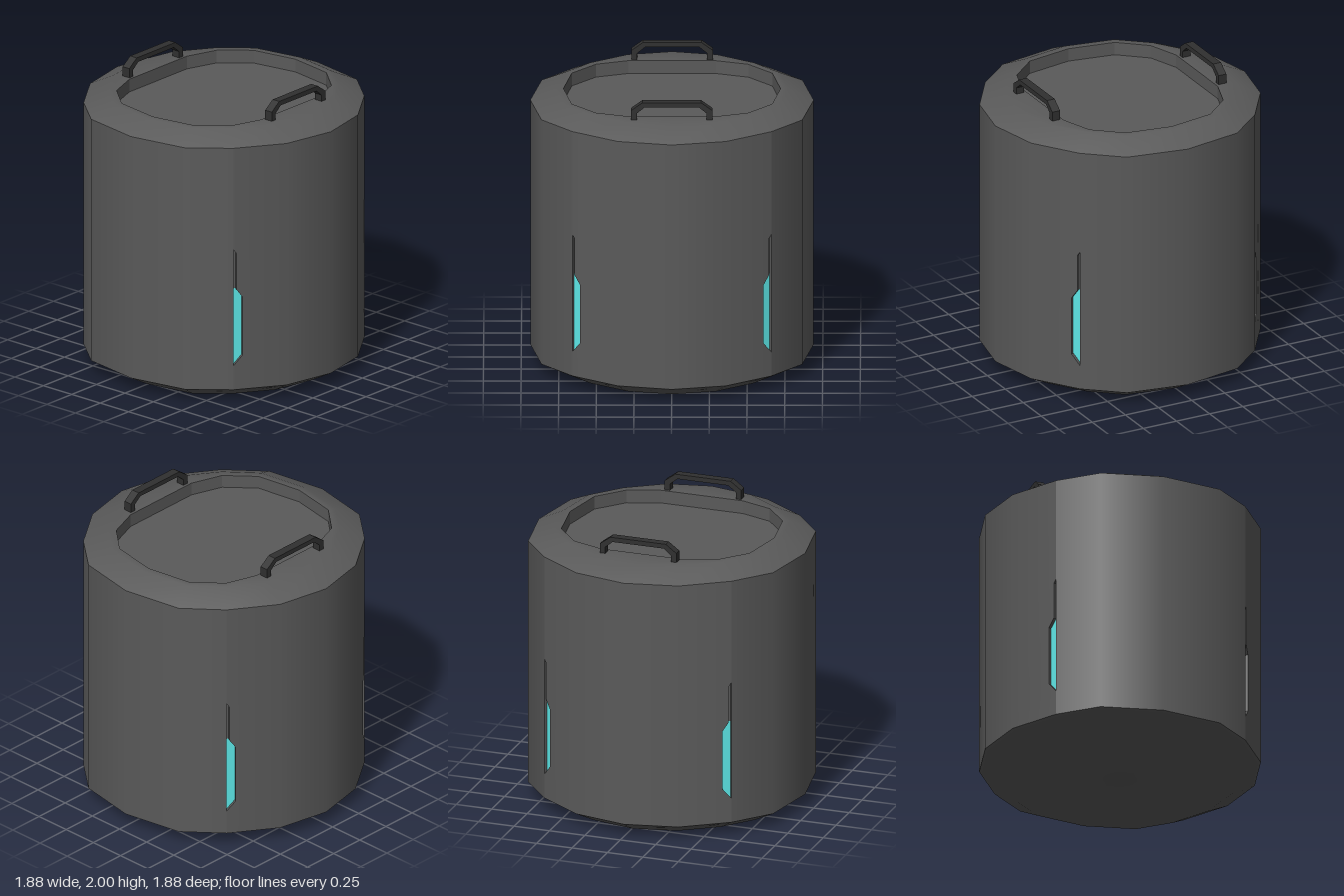
import * as THREE from 'three';

const material = (name, color, side = THREE.FrontSide) => {
  const m = new THREE.MeshStandardMaterial({ color, side });
  m.name = name;
  return m;
};

// Quarter outlines as [x, z], from the front middle to the +x middle
const OUTER = [[0, 0.94], [0.415, 0.865], [0.66, 0.66], [0.865, 0.36], [0.94, 0]];
const RIM = OUTER.map(([x, z]) => [x * 0.82, z * 0.82]);
const RECESS = [[0, 0.72], [0.32, 0.665], [0.505, 0.505], [0.58, 0.29], [0.58, 0]];
const CENTRE = OUTER.map(() => [0, 0]);
const Y_LOW = 0.09, Y_HIGH = 1.8, Y_TOP = 1.88, Y_FLOOR = 1.79;

// Mirror a quarter outline into a closed 16-point loop
function fullLoop(q) {
  return [
    ...q,
    ...q.slice(0, 4).reverse().map(([x, z]) => [x, -z]),
    ...q.slice(1).map(([x, z]) => [-x, -z]),
    ...q.slice(1, 4).reverse().map(([x, z]) => [-x, z]),
  ];
}

// Skin a stack of [points, y] rows
function skin(rows, closed) {
  const pos = [], index = [], n = rows[0][0].length;
  for (const [pts, y] of rows) for (const [x, z] of pts) pos.push(x, y, z);
  for (let r = 0; r < rows.length - 1; r++) {
    for (let i = 0; i < (closed ? n : n - 1); i++) {
      const j = (i + 1) % n, a = r * n, b = a + n;
      index.push(a + i, a + j, b + j, a + i, b + j, b + i);
    }
  }
  const g = new THREE.BufferGeometry();
  g.setAttribute('position', new THREE.Float32BufferAttribute(pos, 3));
  g.setIndex(index);
  g.computeVertexNormals();
  return g;
}

const ring = (...rows) => skin(rows.map(([q, y]) => [fullLoop(q), y]), true);

// Outward normal of the outline segment i
function segNormal(i) {
  const [x0, z0] = OUTER[i], [x1, z1] = OUTER[i + 1];
  return new THREE.Vector3(z0 - z1, 0, x1 - x0).normalize();
}
const N = [0, 1, 2, 3].map(segNormal);
const AXIS_Z = new THREE.Vector3(0, 0, 1), AXIS_X = new THREE.Vector3(1, 0, 0);
const N1 = N[0].clone().add(N[1]).normalize(), N3 = N[2].clone().add(N[3]).normalize();

// Map a flat (t, y) shape onto outline segment i, sunk by depth, blending normals
function panel(points, i, nA, nB, depth = 0) {
  const g = new THREE.ShapeGeometry(new THREE.Shape(points.map(([t, y]) => new THREE.Vector2(t, y))));
  const [x0, z0] = OUTER[i], [x1, z1] = OUTER[i + 1], L = Math.hypot(x1 - x0, z1 - z0);
  const p = g.attributes.position, v = new THREE.Vector3();
  for (let k = 0; k < p.count; k++) {
    const f = p.getX(k) / L;
    v.lerpVectors(nA, nB, f).normalize();
    g.attributes.normal.setXYZ(k, v.x, v.y, v.z);
    p.setXYZ(k, x0 + (x1 - x0) * f - N[i].x * depth, p.getY(k), z0 + (z1 - z0) * f - N[i].z * depth);
  }
  return g;
}

const segLength = (i) => Math.hypot(OUTER[i + 1][0] - OUTER[i][0], OUTER[i + 1][1] - OUTER[i][1]);
const plainPanel = (i, nA, nB) => {
  const L = segLength(i);
  return panel([[0, Y_LOW], [L, Y_LOW], [L, Y_HIGH], [0, Y_HIGH]], i, nA, nB);
};

// Slot outline beside the corner edge, as [distance from corner, y]
const SLOT = [[0, 1.08], [0.018, 1.055], [0.018, 0.8], [0.061, 0.74], [0.061, 0.33], [0, 0.26]];
const SLOT_DEPTH = 0.023;

// Side walls of the slot, one flat quad for each edge
function slotWalls() {
  const n = N[2], [x0, z0] = OUTER[2], L = segLength(2);
  const dx = (OUTER[3][0] - x0) / L, dz = (OUTER[3][1] - z0) / L, pos = [];
  const at = ([t, y], d) => [x0 + dx * t - n.x * d, y, z0 + dz * t - n.z * d];
  SLOT.forEach((a, k) => {
    const b = SLOT[(k + 1) % SLOT.length];
    const [a0, b0, a1, b1] = [at(a, 0), at(b, 0), at(a, SLOT_DEPTH), at(b, SLOT_DEPTH)];
    pos.push(...a0, ...b0, ...b1, ...a0, ...b1, ...a1);
  });
  const g = new THREE.BufferGeometry();
  g.setAttribute('position', new THREE.Float32BufferAttribute(pos, 3));
  g.computeVertexNormals();
  return g;
}

function handleGeometry() {
  const half = [[0.27, 1.87], [0.27, 1.945], [0.195, 2]];
  const inner = [[0.18, 1.968], [0.232, 1.925], [0.232, 1.87]];
  const flip = (pts) => pts.map(([z, y]) => [-z, y]).reverse();
  const pts = [...half, ...flip(half), ...flip(inner), ...inner];
  const shape = new THREE.Shape(pts.map(([z, y]) => new THREE.Vector2(z, y)));
  return new THREE.ExtrudeGeometry(shape, { depth: 0.058, bevelEnabled: false })
    .rotateY(Math.PI / 2).translate(0.598, 0, 0);
}

export function createModel() {
  const model = new THREE.Group();
  model.name = 'canister';
  const shell = material('charcoal shell', 0x5a5a5a);
  const slotMat = shell.clone();
  slotMat.side = THREE.DoubleSide;
  const dark = material('dark handle', 0x303030);
  const glow = material('cyan light', 0x5ce6e6);

  const add = (name, geometry, mat, parent = model) => {
    const mesh = new THREE.Mesh(geometry, mat);
    mesh.name = name;
    parent.add(mesh);
  };

  // Bevelled base, bevelled rim and the sunken lid
  add('base', ring([CENTRE, 0], [RIM, 0], [OUTER, Y_LOW]), shell);
  add('rim', ring([OUTER, Y_HIGH], [RIM, Y_TOP], [RECESS, Y_TOP]), shell);
  const wall = ring([RECESS, Y_TOP], [RECESS, Y_FLOOR]).toNonIndexed();
  wall.computeVertexNormals();
  add('lidWall', wall, shell);
  add('lid', ring([RECESS, Y_FLOOR], [CENTRE, Y_FLOOR]), shell);

  // One quarter of the side wall, with the slot cut next to the corner
  const L = segLength(2);
  const slotted = [[0, Y_LOW], [L, Y_LOW], [L, Y_HIGH], [0, Y_HIGH], ...SLOT];
  const parts = [
    ['frontMiddlePanel', plainPanel(0, AXIS_Z, N1), shell],
    ['frontOuterPanel', plainPanel(1, N1, N[1]), shell],
    ['slottedPanel', panel(slotted, 2, N[2], N3), shell],
    ['sideMiddlePanel', plainPanel(3, N3, AXIS_X), shell],
    ['slotWalls', slotWalls(), slotMat],
    ['slotBack', panel([SLOT[0], [0, 0.8], SLOT[2], SLOT[1]], 2, N[2], N[2], SLOT_DEPTH), shell],
    ['slotLight', panel([[0, 0.8], ...SLOT.slice(2)], 2, N[2], N[2], SLOT_DEPTH), glow],
  ];
  const handle = handleGeometry();
  for (const sx of [1, -1]) {
    for (const sz of [1, -1]) {
      const quarter = new THREE.Group();
      quarter.name = (sz > 0 ? 'front' : 'back') + (sx > 0 ? 'Left' : 'Right') + 'Wall';
      quarter.scale.set(sx, 1, sz);
      parts.forEach(([name, g, m]) => add(name, g, m, quarter));
      model.add(quarter);
    }
    // Carrying handle on the rim
    const grip = new THREE.Group();
    grip.name = sx > 0 ? 'leftHandle' : 'rightHandle';
    grip.scale.x = sx;
    add('handleBar', handle, dark, grip);
    model.add(grip);
  }
  return model;
}
